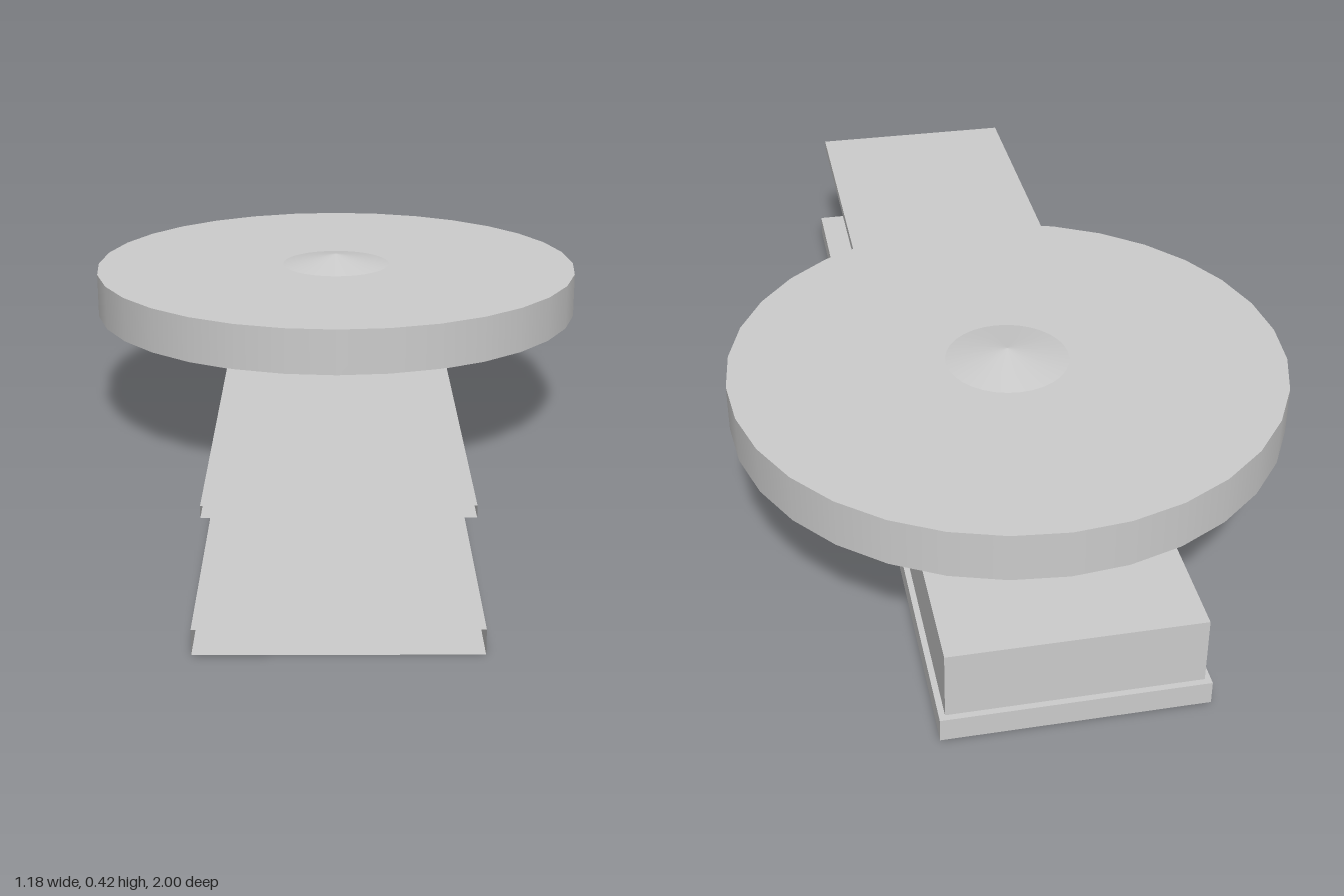
import * as THREE from 'three';

const material = new THREE.MeshStandardMaterial({ color: 0xcccccc, side: THREE.DoubleSide });
const discZ = -0.327;

export function createModel() {
  const model = new THREE.Group();

  const add = (name, geometry, y, z) => {
    const mesh = new THREE.Mesh(geometry, material);
    mesh.name = name;
    mesh.position.set(0, y, z);
    model.add(mesh);
  };

  // Box spanning y0..y1 and z0..z1; openFront leaves out its +z face
  const addBox = (name, width, y0, y1, z0, z1, openFront = false) => {
    const geometry = new THREE.BoxGeometry(width, y1 - y0, z1 - z0);
    if (openFront) {
      const index = Array.from(geometry.index.array);
      index.splice(24, 6);
      geometry.setIndex(index);
      geometry.clearGroups();
    }
    add(name, geometry, (y0 + y1) / 2, (z0 + z1) / 2);
  };

  // Hollow base tray, the block on its rear, and the floating upper plate
  addBox('base', 0.528, 0, 0.05, -1, 1, true);
  addBox('block', 0.504, 0.05, 0.195, -0.987, 0.305);
  addBox('upperPlate', 0.482, 0.265, 0.288, -0.54, 1, true);

  // Round disc with a shallow cone at its centre
  add('disc', new THREE.CylinderGeometry(0.589, 0.589, 0.104, 32), 0.339, discZ);
  add('centreCone', new THREE.ConeGeometry(0.131, 0.025, 32, 1, true), 0.4035, discZ);

  return model;
}
